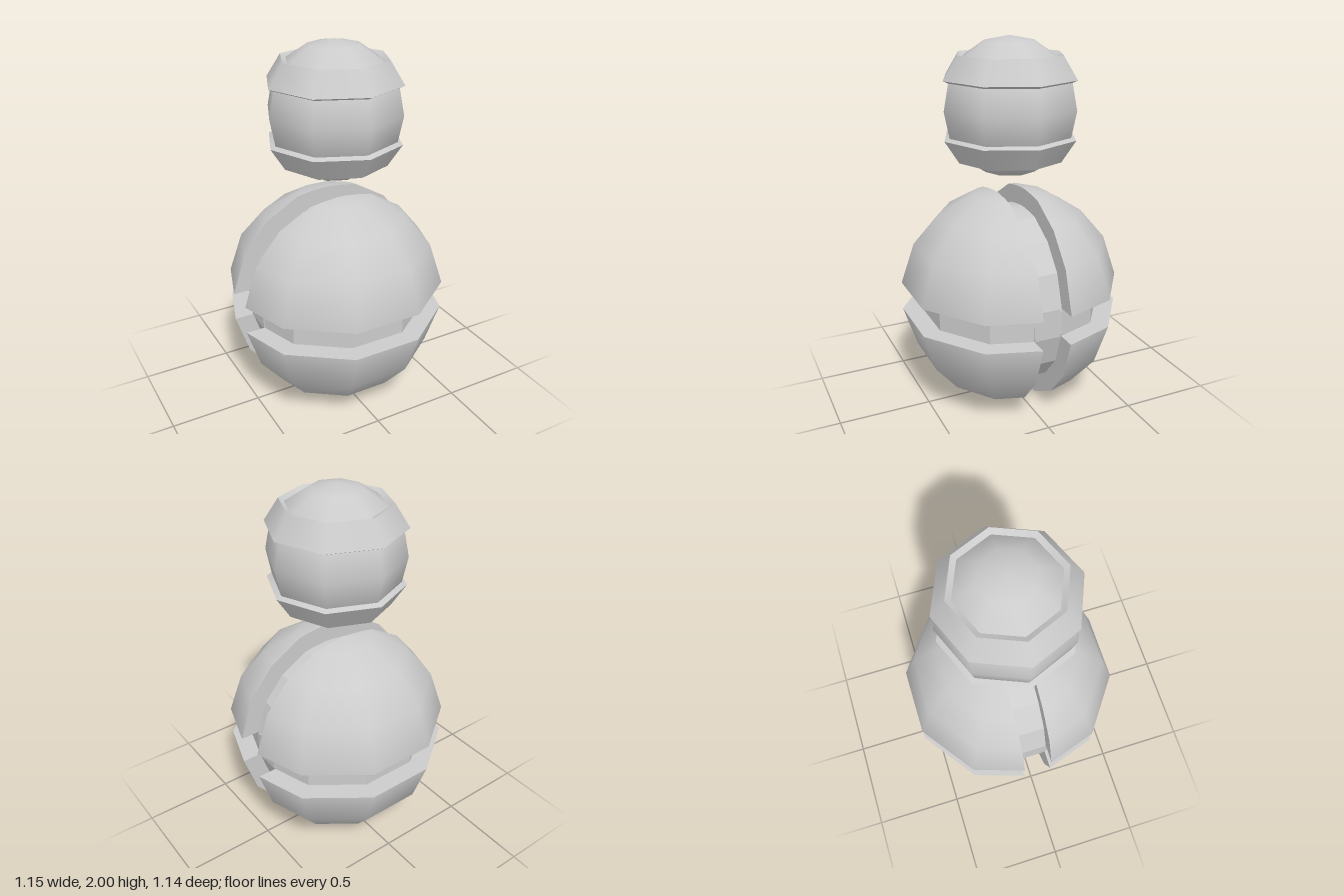
import * as THREE from 'three';

const GAP = 0.078; // half width of the grooves
const R = 0.607; // body radius
const material = new THREE.MeshStandardMaterial({ color: 0xcccccc, side: THREE.DoubleSide });

function add(parent, name, geometry) {
  const mesh = new THREE.Mesh(geometry, material);
  mesh.name = name;
  parent.add(mesh);
  return mesh;
}

function build(points, index) {
  const g = new THREE.BufferGeometry().setFromPoints(points);
  g.setIndex(index);
  g.computeVertexNormals();
  return g;
}

// Flat convex wall
function fan(points) {
  const index = [];
  for (let i = 1; i < points.length - 1; i++) index.push(0, i, i + 1);
  return build(points, index);
}

// Rows of one quarter of a ten-sided ball, cut off at z = GAP and y = GAP
function quarterRows() {
  const angles = [180, 144, 108, 72, 36, 0].map(THREE.MathUtils.degToRad);
  const rings = [20, 40, 60].map(THREE.MathUtils.degToRad).map(t => [R * Math.sin(t), R * Math.cos(t)]);
  rings.push([0.6, GAP]);
  const rows = rings.map(([r, y]) => angles.map(a => {
    const p = new THREE.Vector3(r * Math.cos(a), y, r * Math.sin(a));
    if (p.z < GAP) { // slide the end points along the side to the cut
      p.x -= Math.sign(p.x) * GAP * 0.325;
      p.z = GAP;
    }
    return p;
  }));
  // Cut through the facets that meet at the pole
  const pole = new THREE.Vector3(0, R, 0);
  const top = [1, 1, 2, 3, 4, 4].map(j => {
    const p = rows[0][j];
    return pole.clone().lerp(p, GAP / p.z);
  });
  return [top, ...rows];
}

// Smooth skin over the rows, with normals pointing away from the centre
function skin(rows) {
  const n = rows[0].length;
  const index = [];
  for (let i = 0; i < rows.length - 1; i++) {
    for (let j = 0; j < n - 1; j++) {
      const a = i * n + j, b = a + 1, c = a + n, d = c + 1;
      index.push(a, c, b, b, c, d);
    }
  }
  const points = rows.flat();
  const g = build(points, index);
  points.forEach((p, i) => {
    const v = p.clone().normalize();
    g.attributes.normal.setXYZ(i, v.x, v.y, v.z);
  });
  return g;
}

// Core disc: half outline mirrored, shrunk and extruded across the groove
function disc(half) {
  const s = 0.826;
  const outline = half.map(([a, b]) => new THREE.Vector2(a * s, b * s));
  const mirrored = outline.map(p => new THREE.Vector2(-p.x, -p.y));
  const g = new THREE.ExtrudeGeometry(new THREE.Shape([...outline, ...mirrored]),
    { depth: 2 * GAP, bevelEnabled: false });
  return g.translate(0, 0, -GAP);
}

export function createModel() {
  const model = new THREE.Group();
  model.name = 'stackedBalls';

  // Lower ball: four shell quarters around two crossing grooves
  const body = new THREE.Group();
  body.name = 'body';
  body.position.y = 0.597;
  model.add(body);
  const rows = quarterRows();
  const last = rows[rows.length - 1];
  const leftEdge = rows.map(r => r[5]);
  const rightEdge = rows.map(r => r[0]).reverse();
  const arc = [...rightEdge.slice(0, -1), ...rows[0].slice(1, 5), ...leftEdge.slice(1)];
  const skinGeometry = skin(rows);
  const uprightWall = fan(arc);
  const levelWall = fan([...last].reverse());
  const turns = [[0, 0, 0], [0, Math.PI, 0], [Math.PI, 0, 0], [0, 0, Math.PI]];
  const names = ['upperFront', 'upperBack', 'lowerBack', 'lowerFront'];
  turns.forEach((turn, i) => {
    const quarter = new THREE.Group();
    quarter.name = names[i] + 'Quarter';
    quarter.rotation.set(...turn);
    add(quarter, 'shell', skinGeometry);
    add(quarter, 'uprightGrooveWall', uprightWall);
    add(quarter, 'levelGrooveWall', levelWall);
    body.add(quarter);
  });

  // Groove floors
  add(body, 'uprightGrooveFloor', disc(arc.map(p => [p.x, p.y])));
  add(body, 'levelGrooveFloor', disc(last.map(p => [p.x, p.z])).rotateX?.call
    ? disc(last.map(p => [p.x, p.z])).rotateX(Math.PI / 2) : null);

  // Upper ball with two raised bands
  const head = new THREE.Group();
  head.name = 'head';
  head.position.y = 1.638;
  model.add(head);
  add(head, 'headBall', new THREE.SphereGeometry(0.362, 8, 8));
  const profile = [[0.334, 0.139], [0.362, 0.152], [0.285, 0.272], [0.256, 0.256]]
    .map(p => new THREE.Vector2(...p));
  for (const name of ['upperBand', 'lowerBand']) {
    const band = new THREE.Group();
    band.name = name;
    if (name === 'lowerBand') band.rotation.x = Math.PI;
    ['innerLip', 'face', 'outerLip'].forEach((part, i) =>
      add(band, part, new THREE.LatheGeometry([profile[i], profile[i + 1]], 8)));
    head.add(band);
  }
  return model;
}
